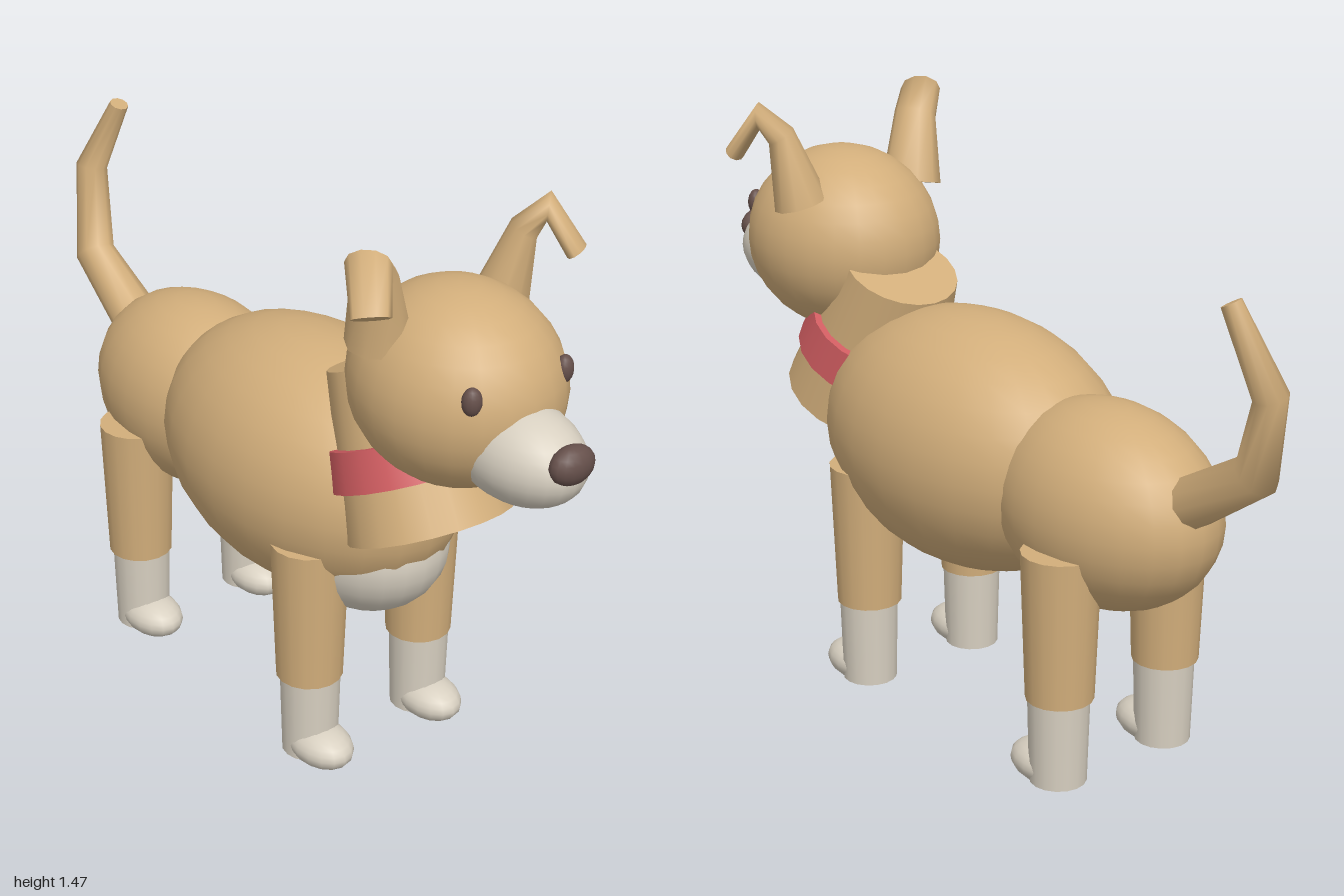
import * as THREE from 'three';

const mat = (name, color) => {
  const m = new THREE.MeshStandardMaterial({ color });
  m.name = name;
  return m;
};

// Closed loft through elliptical rings: each stop is [x, y, z, halfWidth, halfThickness]
function loft(stops, ref, sides = 10) {
  const pts = stops.map(s => new THREE.Vector3(s[0], s[1], s[2]));
  const pos = [], idx = [], n = stops.length;
  const ring = i => {
    const t = new THREE.Vector3();
    if (i > 0) t.add(pts[i].clone().sub(pts[i - 1]).normalize());
    if (i < n - 1) t.add(pts[i + 1].clone().sub(pts[i]).normalize());
    t.normalize();
    const a = ref.clone().addScaledVector(t, -ref.dot(t)).normalize();
    const b = t.clone().cross(a);
    for (let j = 0; j < sides; j++) {
      const ang = (j / sides) * Math.PI * 2;
      const p = pts[i].clone()
        .addScaledVector(a, Math.cos(ang) * stops[i][3])
        .addScaledVector(b, Math.sin(ang) * stops[i][4]);
      pos.push(p.x, p.y, p.z);
    }
  };
  for (let i = 0; i < n; i++) ring(i);
  for (let i = 0; i < n - 1; i++) {
    for (let j = 0; j < sides; j++) {
      const k = (j + 1) % sides, p = i * sides, q = p + sides;
      idx.push(p + j, p + k, q + k, p + j, q + k, q + j);
    }
  }
  // End caps with their own vertices, so their rims stay sharp
  const s0 = pos.length / 3;
  ring(0);
  ring(n - 1);
  for (let j = 1; j < sides - 1; j++) {
    idx.push(s0, s0 + j + 1, s0 + j, s0 + sides, s0 + sides + j, s0 + sides + j + 1);
  }
  const g = new THREE.BufferGeometry();
  g.setAttribute('position', new THREE.Float32BufferAttribute(pos, 3));
  g.setIndex(idx);
  g.computeVertexNormals();
  return g;
}

export function createModel() {
  const dog = new THREE.Group();
  dog.name = 'dog';
  const tan = mat('tanFur', 0xd2ae7b);
  const cream = mat('creamFur', 0xd8d0c1);
  const red = mat('redCollar', 0xcf5c60);
  const dark = mat('darkBrown', 0x66504b);

  const add = (name, geometry, material, parent = dog) => {
    const m = new THREE.Mesh(geometry, material);
    m.name = name;
    parent.add(m);
    return m;
  };
  const ball = (name, material, [x, y, z], [rx, ry, rz], w = 24, h = 16) => {
    const g = new THREE.SphereGeometry(1, w, h);
    g.scale(rx, ry, rz);
    const m = add(name, g, material);
    m.position.set(x, y, z);
    return m;
  };

  // Torso
  ball('body', tan, [0, 0.693, 0.07], [0.295, 0.318, 0.46]);
  ball('haunches', tan, [0, 0.665, -0.41], [0.222, 0.245, 0.32]);
  ball('chestPatch', cream, [0, 0.57, 0.27], [0.19, 0.193, 0.235]);

  // Head
  ball('head', tan, [0, 1.092, 0.59], [0.235, 0.233, 0.26]);
  ball('muzzle', cream, [0, 1.01, 0.8], [0.12, 0.113, 0.18]);
  ball('nose', dark, [0, 1.045, 0.963], [0.058, 0.045, 0.036], 16, 10);

  // Neck and collar, tilted together
  const neckGroup = new THREE.Group();
  neckGroup.name = 'neckGroup';
  neckGroup.rotation.x = -0.433;
  dog.add(neckGroup);
  add('neck', new THREE.CylinderGeometry(0.143, 0.198, 0.395, 20), tan, neckGroup)
    .position.set(0, 0.613, 0.762);
  add('collar', new THREE.CylinderGeometry(0.185, 0.202, 0.095, 20), red, neckGroup)
    .position.set(0, 0.588, 0.76);

  // Tail: rises from the rump, kinks and curls to one side
  add('tail', loft([
    [0, 0.72, -0.64, 0.068, 0.065],
    [0, 0.872, -0.88, 0.05, 0.056],
    [0.05, 1.08, -0.96, 0.042, 0.038],
    [0.085, 1.27, -0.87, 0.026, 0.022],
  ], new THREE.Vector3(1, 0, 0)), tan);

  for (const [side, s] of [['left', 1], ['right', -1]]) {
    ball(side + 'Eye', dark, [s * 0.13, 1.16, 0.79], [0.023, 0.033, 0.02], 14, 10)
      .rotation.y = s * 0.4;

    // Ear: tapered stalk with a folded-over tip
    add(side + 'Ear', loft([
      [s * 0.172, 1.215, 0.53, 0.075, 0.068],
      [s * 0.208, 1.385, 0.558, 0.052, 0.034],
      [s * 0.25, 1.436, 0.588, 0.05, 0.032],
      [s * 0.286, 1.34, 0.645, 0.044, 0.024],
    ], new THREE.Vector3(-s * 0.7, 0, 0.7)), tan);

    // Legs with socks and paws
    for (const [end, z] of [['Front', 0.285], ['Back', -0.443]]) {
      const leg = side + end;
      add(leg + 'Leg', new THREE.CylinderGeometry(0.094, 0.081, 0.365, 16), tan)
        .position.set(s * 0.168, 0.4175, z);
      add(leg + 'Sock', new THREE.CylinderGeometry(0.074, 0.068, 0.225, 16), cream)
        .position.set(s * 0.168, 0.133, z + 0.003);
      ball(leg + 'Paw', cream, [s * 0.169, 0.052, z + 0.045], [0.07, 0.051, 0.1], 16, 12);
    }
  }
  return dog;
}
